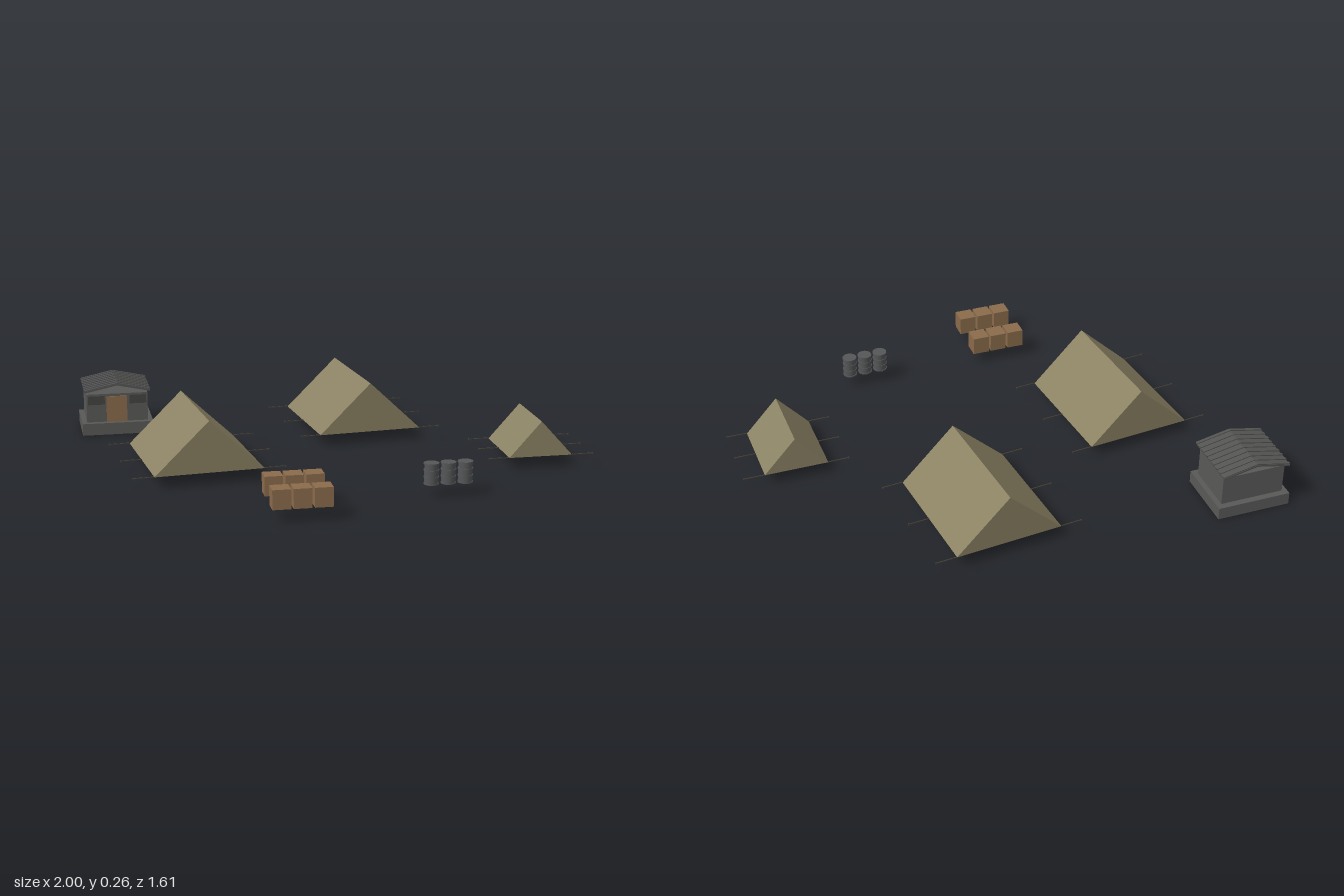
import * as THREE from 'three';

const mat = (name, color) => {
  const m = new THREE.MeshStandardMaterial({ color, flatShading: name !== 'barrel steel' });
  m.name = name;
  return m;
};

export function createModel() {
  const canvas = mat('canvas', 0x8b8264);
  const wood = mat('wood', 0x8b6b4c);
  const concrete = mat('concrete', 0x595a58);
  const roofing = mat('roofing', 0x545553);
  const dark = mat('dark opening', 0x444543);
  const steel = mat('barrel steel', 0x555657);
  const rope = mat('rope', 0x4a4538);

  const model = new THREE.Group();
  model.name = 'camp';
  const GROUND = 0.047;

  const add = (parent, name, geo, material, x = 0, y = 0, z = 0) => {
    const mesh = new THREE.Mesh(geo, material);
    mesh.name = name;
    mesh.position.set(x, y, z);
    parent.add(mesh);
    return mesh;
  };
  const box = (parent, name, material, w, h, d, x, y, z) =>
    add(parent, name, new THREE.BoxGeometry(w, h, d), material, x, y, z);
  const group = (name, x, y, z) => {
    const g = new THREE.Group();
    g.name = name;
    g.position.set(x, y, z);
    model.add(g);
    return g;
  };

  // Ridge tents: closed prisms with guy ropes at both ends and the middle
  const tent = (name, x, z, w, h, d, turn) => {
    const g = group(name, x, GROUND, z);
    g.rotation.y = turn;
    const s = new THREE.Shape([
      new THREE.Vector2(-w / 2, 0), new THREE.Vector2(w / 2, 0), new THREE.Vector2(0, h)]);
    const geo = new THREE.ExtrudeGeometry(s, { depth: d, bevelEnabled: false });
    add(g, 'tentCanvas', geo.translate(0, 0, -d / 2), canvas);
    for (const side of [-1, 1]) for (const k of [-1, 0, 1]) {
      box(g, 'guyRope', rope, 0.088, 0.003, 0.003, side * (w / 2 + 0.044), 0.002, k * d / 2);
      box(g, 'peg', rope, 0.004, 0.008, 0.004, side * (w / 2 + 0.086), 0.001, k * d / 2);
    }
  };
  tent('largeTentLeft', -0.583, 0.019, 0.44, 0.209, 0.516, 0.1);
  tent('largeTentRear', 0.163, -0.465, 0.44, 0.209, 0.516, 0.1);
  tent('smallTent', 0.779, 0.152, 0.262, 0.145, 0.305, 0);

  // Guard hut on a plinth
  const hut = group('hut', -0.848, 0, -0.68);
  box(hut, 'plinth', concrete, 0.304, 0.051, 0.262, 0, 0.0255, 0);
  box(hut, 'walls', concrete, 0.262, 0.123, 0.21, 0, 0.1125, 0);
  box(hut, 'door', wood, 0.088, 0.112, 0.008, -0.002, 0.107, 0.106);
  for (const side of [-1, 1]) {
    box(hut, 'window', dark, 0.072, 0.038, 0.006, side * 0.089, 0.147, 0.106);
  }

  // Low pitched roof, raised above the walls, with ribs running down each slope
  const pitch = Math.atan2(0.03, 0.14);
  for (const side of [-1, 1]) {
    const slope = new THREE.Group();
    slope.name = 'roofSlope';
    slope.position.set(side * 0.07, 0.203, 0);
    slope.rotation.z = -side * pitch;
    hut.add(slope);
    box(slope, 'roofSheet', roofing, 0.144, 0.007, 0.256, 0, 0, 0);
    for (let i = 0; i < 9; i++) {
      box(slope, 'roofRib', roofing, 0.144, 0.005, 0.012, 0, 0.005, -0.12 + i * 0.03);
    }
  }

  // Two rows of crates
  for (const z of [0.593, 0.768]) for (let i = 0; i < 3; i++) {
    box(model, 'crate', wood, 0.07, 0.076, 0.069, -0.363 + i * 0.079, GROUND + 0.038, z);
  }

  // Barrels with rims and rolling hoops
  for (let i = 0; i < 3; i++) {
    const b = group('barrel', 0.251 + i * 0.067, GROUND, 0.591);
    add(b, 'drum', new THREE.CylinderGeometry(0.0275, 0.0275, 0.083, 20), steel, 0, 0.042, 0);
    for (const y of [0.003, 0.029, 0.056, 0.082]) {
      add(b, 'hoop', new THREE.CylinderGeometry(0.03, 0.03, 0.005, 20), steel, 0, y, 0);
    }
  }
  return model;
}
